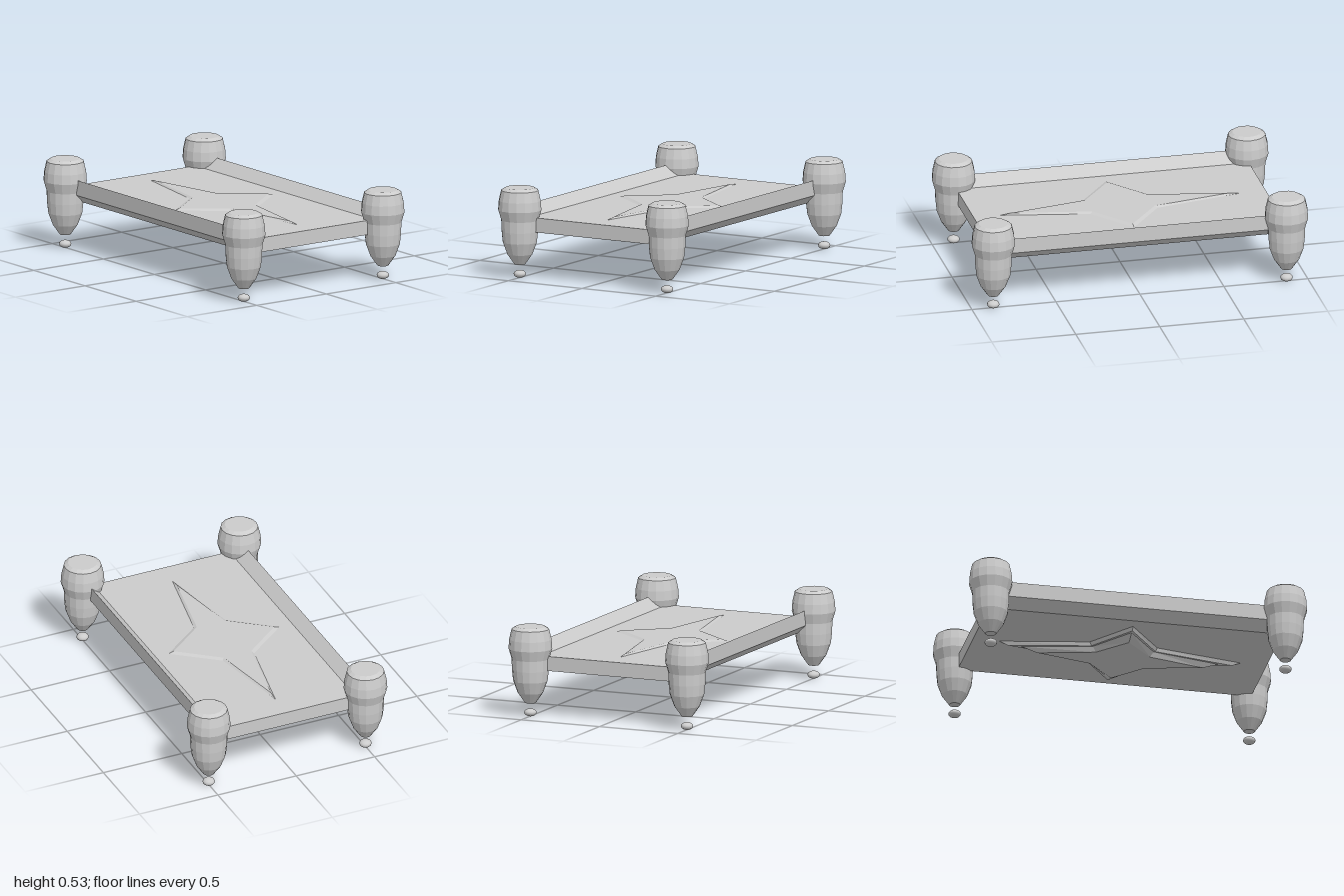
import * as THREE from 'three';

const material = new THREE.MeshStandardMaterial({ color: 0xcccccc, flatShading: true });
const smoothMaterial = new THREE.MeshStandardMaterial({ color: 0xcccccc });

function part(name, geometry, mat = material) {
  const mesh = new THREE.Mesh(geometry, mat);
  mesh.name = name;
  return mesh;
}

// Four-pointed star outline: long tips on x, short tips on z, notches between
function starRing([y, tipX, tipZ, notchX, notchZ]) {
  return [
    [tipX, y, 0], [notchX, y, notchZ], [0, y, tipZ], [-notchX, y, notchZ],
    [-tipX, y, 0], [-notchX, y, -notchZ], [0, y, -tipZ], [notchX, y, -notchZ],
  ];
}

// Joins star outlines from bottom to top and closes both ends
function starGeometry(layers) {
  const rings = layers.map(starRing);
  const pos = [];
  const tri = (a, b, c) => pos.push(...a, ...b, ...c);
  const last = rings.length - 1;
  for (let i = 0; i < 8; i++) {
    const j = (i + 1) % 8;
    for (let k = 0; k < last; k++) {
      const lo = rings[k], hi = rings[k + 1];
      tri(lo[i], hi[i], hi[j]);
      tri(lo[i], hi[j], lo[j]);
    }
    tri([0, layers[0][0], 0], rings[0][i], rings[0][j]);
    tri([0, layers[last][0], 0], rings[last][j], rings[last][i]);
  }
  const geometry = new THREE.BufferGeometry();
  geometry.setAttribute('position', new THREE.Float32BufferAttribute(pos, 3));
  geometry.computeVertexNormals();
  return geometry;
}

export function createModel() {
  const group = new THREE.Group();

  // Table top: a flat slab whose front and back edges turn up
  const profile = new THREE.Shape([
    [-0.435, 0.275], [0.435, 0.275], [0.5, 0.33], [0.5, 0.42],
    [0.435, 0.36], [-0.435, 0.36], [-0.5, 0.42], [-0.5, 0.33],
  ].map(([z, y]) => new THREE.Vector2(z, y)));
  const slab = new THREE.ExtrudeGeometry(profile, { depth: 1.74, bevelEnabled: false });
  slab.translate(0, 0, -0.87);
  slab.rotateY(Math.PI / 2);
  group.add(part('tableTop', slab));

  // Star ornament: low bevelled relief above, two stepped tiers below
  group.add(part('starOrnament', starGeometry([
    [0.222, 0.49, 0.25, 0.16, 0.08],
    [0.253, 0.585, 0.32, 0.18, 0.09],
    [0.253, 0.665, 0.345, 0.19, 0.095],
    [0.275, 0.715, 0.36, 0.2, 0.1],
    [0.36, 0.715, 0.355, 0.2, 0.1],
    [0.369, 0.65, 0.32, 0.185, 0.088],
  ])));

  // Turned legs with a small bead foot under each
  const legProfile = [
    [0, 0.08], [0.032, 0.08], [0.074, 0.14], [0.1, 0.21], [0.107, 0.275],
    [0.109, 0.34], [0.127, 0.4], [0.123, 0.455], [0.109, 0.515], [0.085, 0.53], [0, 0.53],
  ].map(([r, y]) => new THREE.Vector2(r, y));
  const legGeometry = new THREE.LatheGeometry(legProfile, 16);
  const footGeometry = new THREE.SphereGeometry(1, 16, 10);
  footGeometry.scale(0.036, 0.0225, 0.036);
  footGeometry.translate(0, 0.0225, 0);

  for (const [xSide, sx] of [['Left', 1], ['Right', -1]]) {
    for (const [zSide, sz] of [['front', 1], ['back', -1]]) {
      const leg = new THREE.Group();
      leg.name = `${zSide}${xSide}Leg`;
      leg.add(part('turnedPost', legGeometry), part('beadFoot', footGeometry, smoothMaterial));
      leg.position.set(sx * 0.873, 0, sz * 0.5);
      group.add(leg);
    }
  }
  return group;
}
